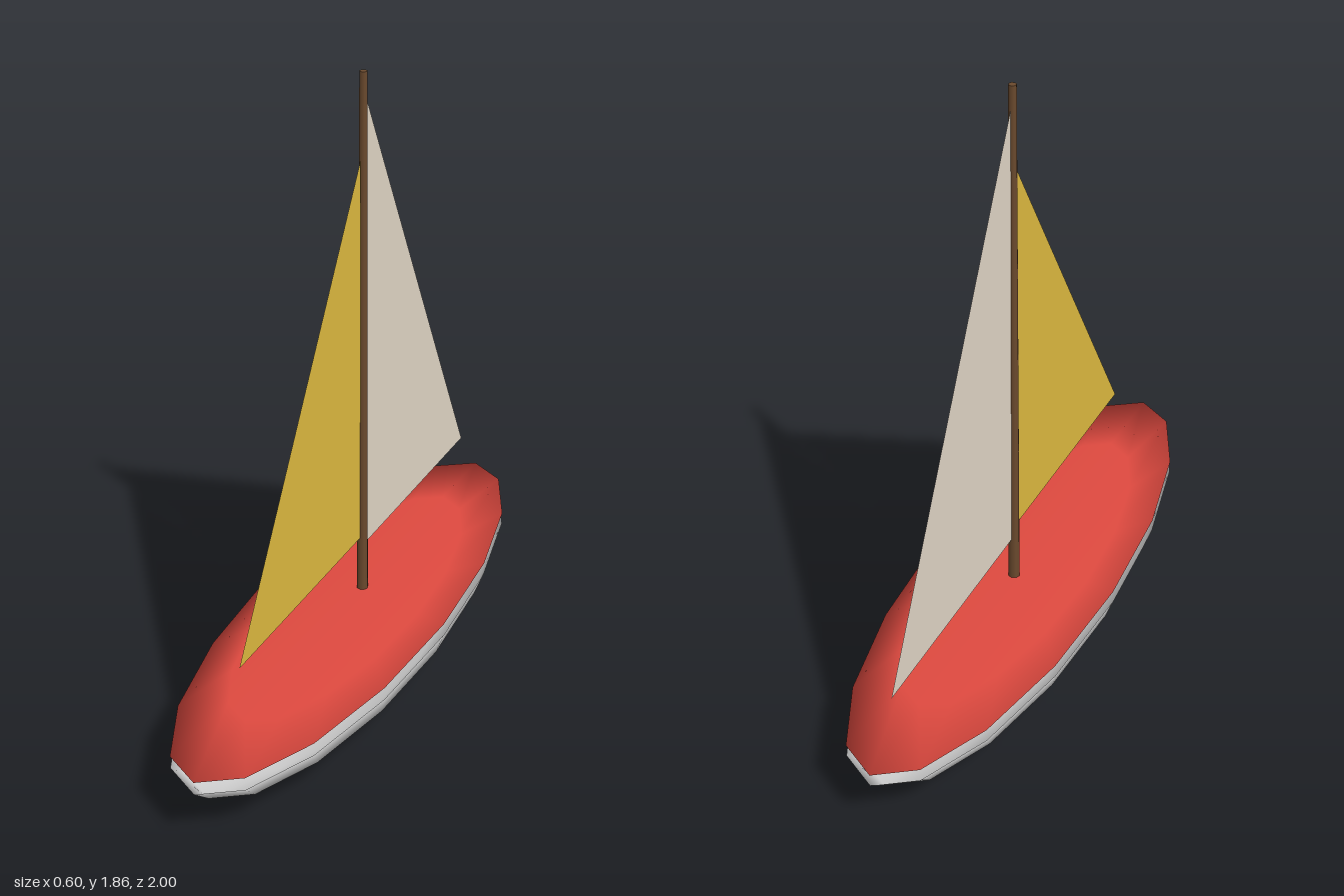
import * as THREE from 'three';

const paint = (name, color, side = THREE.FrontSide) => {
  const m = new THREE.MeshStandardMaterial({ color, side });
  m.name = name;
  return m;
};

export function createModel() {
  const boat = new THREE.Group();
  boat.name = 'sailboat';

  const hullGrey = paint('hull grey', 0xdadada, THREE.DoubleSide);
  const deckRed = paint('deck red', 0xe04a40);
  const mastBrown = paint('mast brown', 0x6b4a2e);
  const sailCream = paint('sail cream', 0xe2d7c7, THREE.DoubleSide);
  const sailYellow = paint('sail yellow', 0xdfbb40, THREE.DoubleSide);

  const add = (name, geometry, material, y = 0, z = 0) => {
    const mesh = new THREE.Mesh(geometry, material);
    mesh.name = name;
    mesh.position.set(0, y, z);
    boat.add(mesh);
    return mesh;
  };

  // Hull: lower half of a stretched sphere, open at the top
  const hull = new THREE.SphereGeometry(1, 16, 4, 0, Math.PI * 2, Math.PI / 2, Math.PI / 2);
  add('hull', hull.scale(0.3, 0.17, 1), hullGrey, 0.17);

  // Deck: thin lens floating just above the hull rim
  add('deck', new THREE.SphereGeometry(1, 16, 4).scale(0.3, 0.0175, 1), deckRed, 0.208);

  // Mast: slightly tapered pole
  const mastZ = -0.067, mastFoot = 0.21, mastTop = 1.86;
  add('mast', new THREE.CylinderGeometry(0.012, 0.018, mastTop - mastFoot, 8), mastBrown,
    (mastFoot + mastTop) / 2, mastZ);

  // Sails: flat triangles in the centre plane, given as [z, y] corners
  const sail = (name, corners, material) => {
    const shape = new THREE.Shape(corners.map(([z, y]) => new THREE.Vector2(z, y)));
    add(name, new THREE.ShapeGeometry(shape).rotateY(-Math.PI / 2), material);
  };
  sail('mainSail', [[-0.08, 0.37], [-0.86, 0.37], [-0.08, 1.79]], sailCream);
  sail('foreSail', [[-0.05, 0.405], [0.73, 0.405], [-0.05, 1.61]], sailYellow);

  return boat;
}
